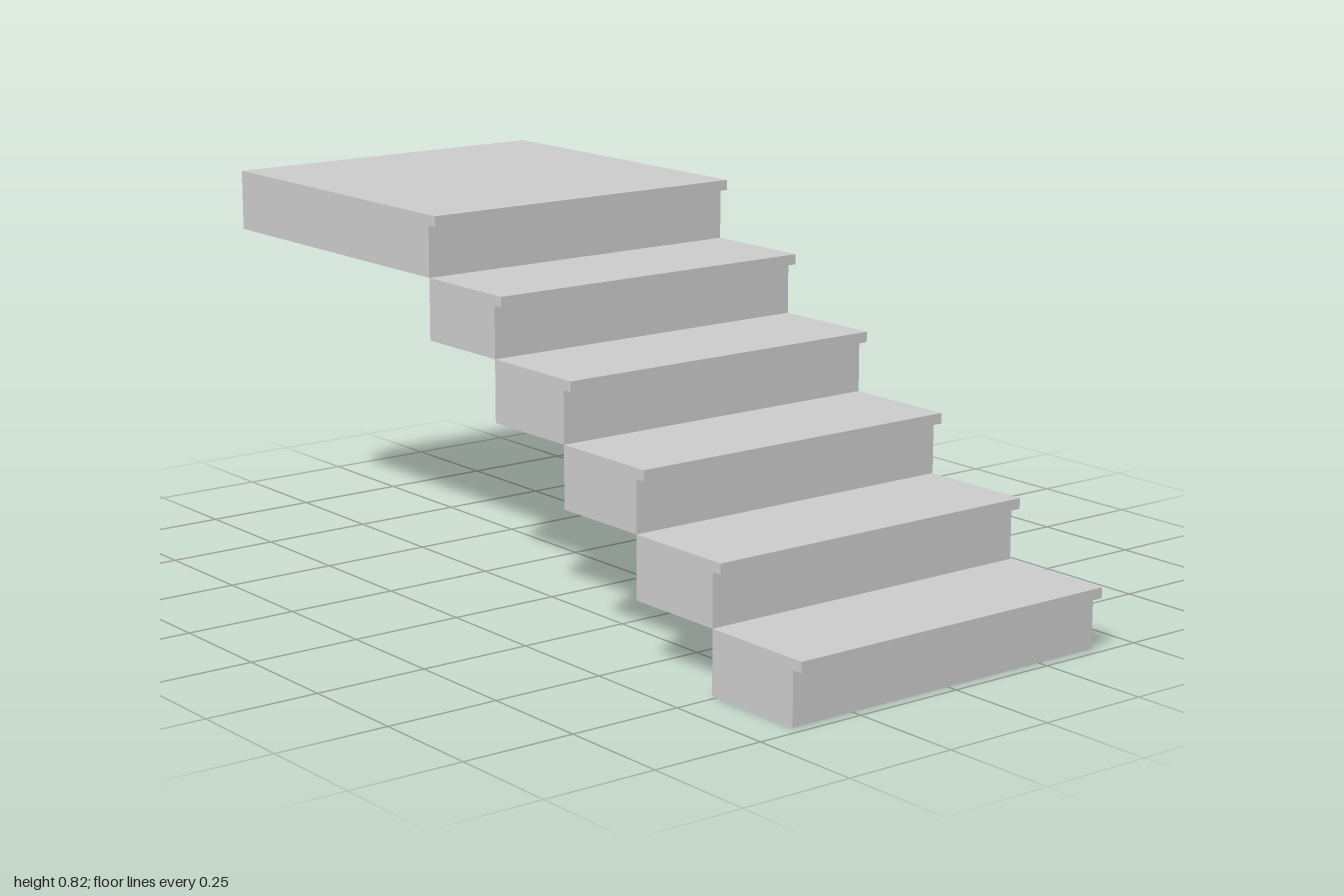
import * as THREE from 'three';

const STEPS = 6, WIDTH = 0.802, RISE = 0.82 / STEPS, GOING = 0.241;
const TREAD = 0.023, NOSING = 0.024, RISER = 0.02;

export function createModel() {
  const stairs = new THREE.Group();
  stairs.name = 'staircase';
  const solid = new THREE.MeshStandardMaterial({ color: 0xcccccc, flatShading: true });
  const sheet = new THREE.MeshStandardMaterial({ color: 0xcccccc, side: THREE.DoubleSide });

  for (let i = 0; i < STEPS; i++) {
    const isLanding = i === STEPS - 1;
    const step = new THREE.Group();
    step.name = isLanding ? 'landing' : `step${i + 1}`;
    const front = 1 - GOING * i;                 // nosing edge
    const riserFront = front - NOSING;
    const back = isLanding ? -1 : riserFront - GOING;
    const bottom = RISE * i;
    const wall = RISE - TREAD;                   // height below the tread

    // tread slab, overhanging the riser
    const tread = new THREE.Mesh(new THREE.BoxGeometry(WIDTH, TREAD, front - back), solid);
    tread.name = 'tread';
    tread.position.set(0, bottom + RISE - TREAD / 2, (front + back) / 2);
    step.add(tread);

    // riser board
    const riser = new THREE.Mesh(new THREE.BoxGeometry(WIDTH, wall, RISER), solid);
    riser.name = 'riser';
    riser.position.set(0, bottom + wall / 2, riserFront - RISER / 2);
    step.add(riser);

    // thin side panels; the back and underside stay open
    for (const side of [-1, 1]) {
      const panel = new THREE.Mesh(new THREE.PlaneGeometry(riserFront - back, wall), sheet);
      panel.name = side > 0 ? 'leftSidePanel' : 'rightSidePanel';
      panel.rotation.y = side * Math.PI / 2;
      panel.position.set(side * WIDTH / 2, bottom + wall / 2, (riserFront + back) / 2);
      step.add(panel);
    }
    stairs.add(step);
  }
  return stairs;
}
